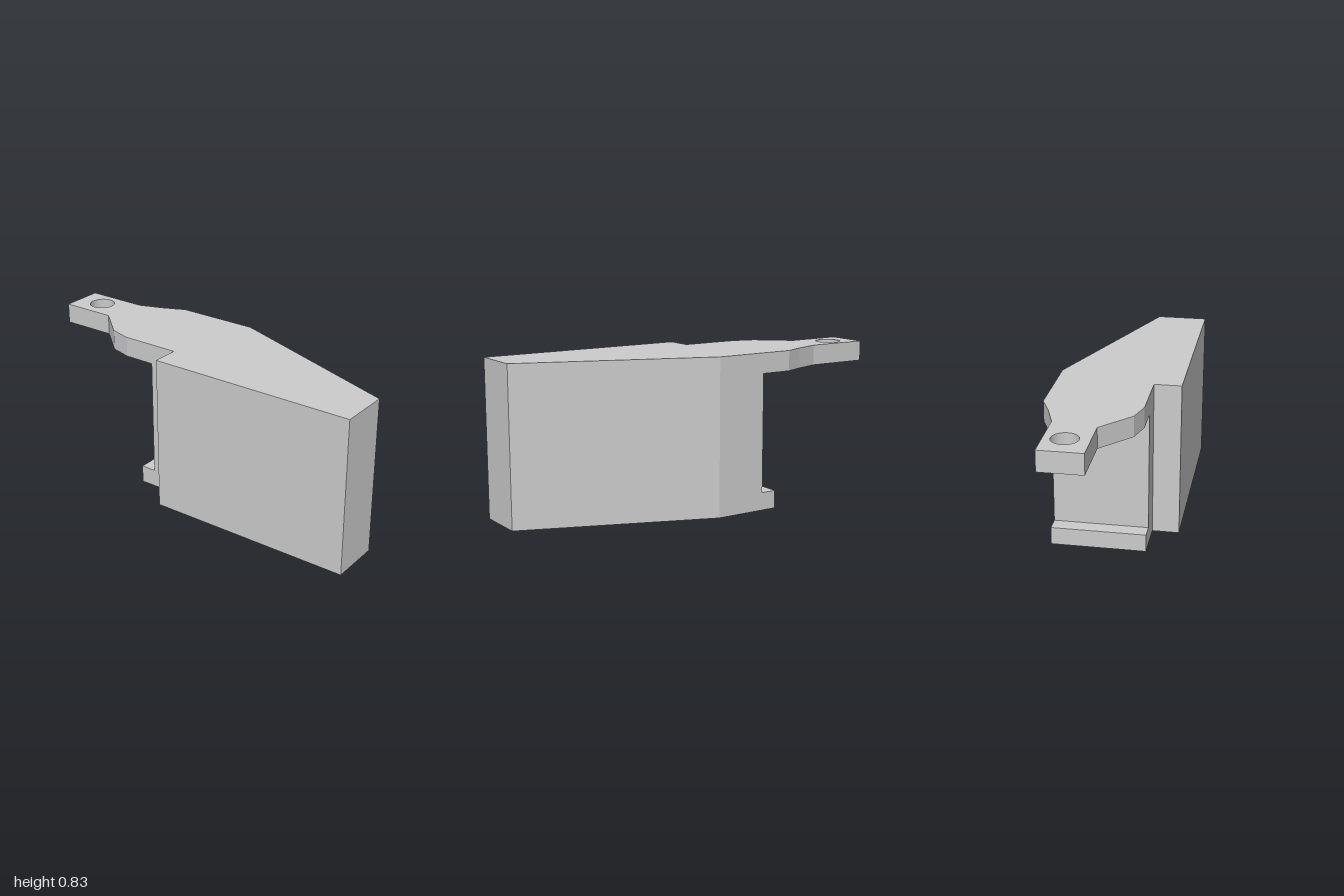
import * as THREE from 'three';

const material = new THREE.MeshStandardMaterial({ color: 0xcccccc });

// Extrudes a plan outline of [x, z] points upward from y0 to y1
function slab(name, outline, y0, y1, hole) {
  const shape = new THREE.Shape(outline.map(([x, z]) => new THREE.Vector2(x, -z)));
  if (hole) {
    const path = new THREE.Path();
    path.absarc(hole.x, -hole.z, hole.r, 0, Math.PI * 2, true);
    shape.holes.push(path);
  }
  const geometry = new THREE.ExtrudeGeometry(shape, {
    depth: y1 - y0, bevelEnabled: false, curveSegments: 32,
  });
  geometry.rotateX(-Math.PI / 2);
  geometry.translate(0, y0, 0);
  const mesh = new THREE.Mesh(geometry, material);
  mesh.name = name;
  return mesh;
}

export function createModel() {
  const model = new THREE.Group();
  model.name = 'bracket';
  const top = 0.832, inner = -0.26, back = -0.32, step = 0.178;

  // Full-height block with tapered back and stepped front
  model.add(slab('body', [
    [inner, step], [-0.113, step], [-0.113, 0.32], [1, 0.32],
    [1, 0.05], [0.013, back], [inner, back],
  ], 0, top));

  // Thin top arm narrowing to a drilled tab
  model.add(slab('arm', [
    [-1, 0], [-0.705, 0], [-0.542, 0.145], [-0.425, step], [inner, step],
    [inner, back], [-0.425, back], [-0.535, -0.27], [-0.668, -0.223], [-1, -0.223],
  ], 0.725, top, { x: -0.854, z: -0.12, r: 0.067 }));

  // Small ledge at the foot of the block
  model.add(slab('footLip', [
    [-0.343, step], [inner, step], [inner, back], [-0.343, back],
  ], 0, 0.095));

  return model;
}
